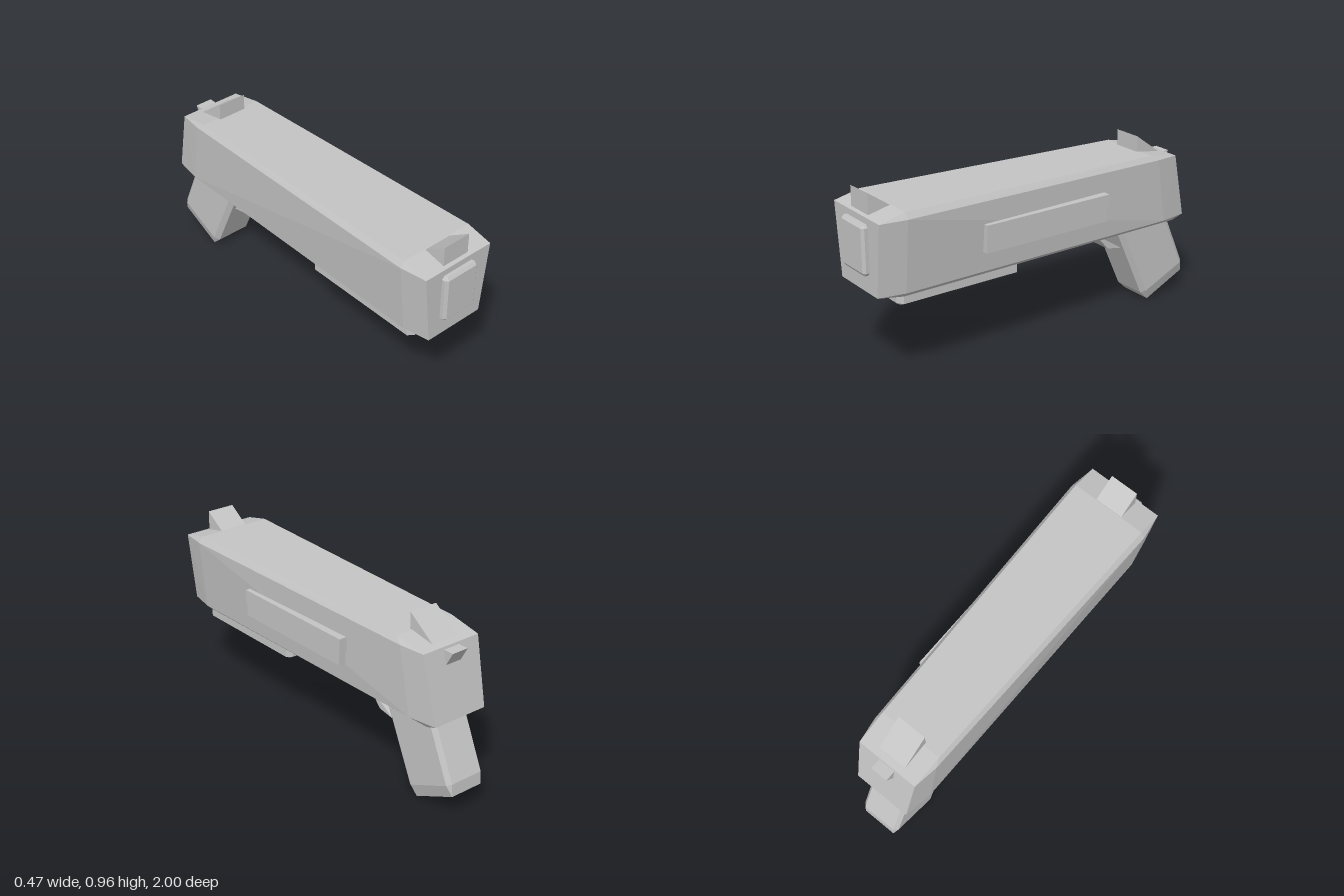
import * as THREE from 'three';
import { ConvexGeometry } from 'three/addons/geometries/ConvexGeometry.js';

const CX = -0.007; // shared mid-plane

export function createModel() {
  const group = new THREE.Group();
  const grey = new THREE.MeshStandardMaterial({ color: 0xc4c4c4 });
  grey.name = 'plain grey';

  const add = (name, geometry) => {
    const mesh = new THREE.Mesh(geometry, grey);
    mesh.name = name;
    group.add(mesh);
    return mesh;
  };

  // Faceted solid from [half width, y, z] points mirrored about the mid-plane
  const mirroredHull = (name, points) => add(name, new ConvexGeometry(
    points.flatMap(([w, y, z]) => [1, -1].map((s) => new THREE.Vector3(CX + s * w, y, z)))));

  // Constant-width wedge from a [z, y] side profile
  const wedge = (name, halfWidth, profile) =>
    mirroredHull(name, profile.map(([z, y]) => [halfWidth, y, z]));

  // Box with a chamfer of its own depth on each axis
  const chamferBox = (name, [y0, y1], [z0, z1], w, [bx, by, bz]) => {
    const points = [];
    for (const [y, iy] of [[y0, y0 + by], [y1, y1 - by]]) {
      for (const [z, iz] of [[z0, z0 + bz], [z1, z1 - bz]]) {
        points.push([w, iy, iz], [w - bx, y, iz], [w - bx, iy, z]);
      }
    }
    return mirroredHull(name, points);
  };

  // Tapered body with chamfered edges
  mirroredHull('body', [
    [0.207, 0.857, 0.97], [0.166, 0.48, 0.97],     // front face
    [0.229, 0.857, 0.83], [0.193, 0.48, 0.83],     // side faces, front end
    [0.192, 0.832, -0.72], [0.182, 0.48, -0.78],   // side faces, rear end
    [0.207, 0.888, 0.83], [0.175, 0.86, -0.68],    // top face
    [0.166, 0.455, 0.83], [0.15, 0.455, -0.87],    // bottom face
    [0.172, 0.828, -0.855], [0.157, 0.48, -0.935], // rear face
  ]);

  // Plates on the nose and under the barrel
  chamferBox('muzzlePlate', [0.57, 0.825], [0.93, 1.0], 0.103, [0.015, 0.016, 0.012]);
  chamferBox('underPlate', [0.4, 0.5], [0.15, 0.85], 0.163, [0.03, 0.014, 0.022]);

  // Slanted grip: narrow outline outside, wider flat cheeks inside
  const gripOutline = [[-0.505, 0.5], [-0.71, 0.05], [-0.76, 0.003], [-1, 0.115], [-0.995, 0.18], [-0.855, 0.5]];
  const gripCheek = [[-0.535, 0.5], [-0.735, 0.062], [-0.975, 0.17], [-0.83, 0.5]];
  mirroredHull('grip', [
    ...gripOutline.map(([z, y]) => [0.094, y, z]),
    ...gripCheek.map(([z, y]) => [0.113, y, z]),
  ]);

  // Trigger, sights and rear knob
  wedge('trigger', 0.088, [[-0.39, 0.458], [-0.475, 0.362], [-0.565, 0.346]]);
  wedge('frontSight', 0.078, [[0.95, 0.965], [0.95, 0.85], [0.83, 0.885]]);
  wedge('rearSight', 0.08, [[-0.665, 0.945], [-0.665, 0.85], [-0.83, 0.825]]);
  wedge('rearKnob', 0.047, [[-0.84, 0.815], [-0.915, 0.815], [-0.87, 0.735]]);

  // Two stacked rails on the left side
  const rail = (name, x, [y0, y1], [z0, z1]) => {
    const mesh = add(name, new THREE.BoxGeometry(x - 0.15, y1 - y0, z1 - z0));
    mesh.position.set((x + 0.15) / 2, (y0 + y1) / 2, (z0 + z1) / 2);
  };
  rail('upperRail', 0.233, [0.655, 0.735], [-0.35, 0.4]);
  rail('lowerRail', 0.227, [0.59, 0.655], [-0.34, 0.4]);

  return group;
}
